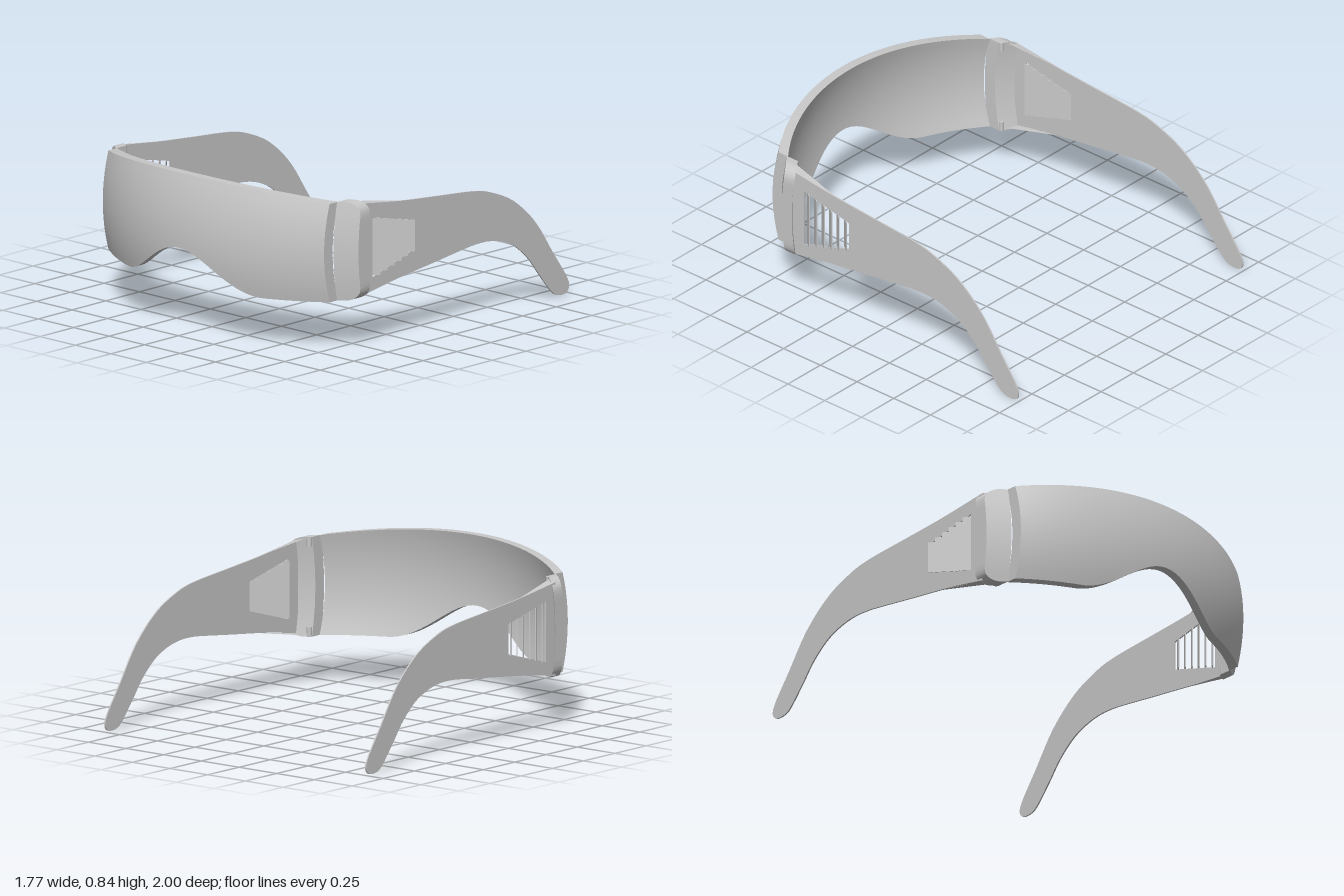
import * as THREE from 'three';
import { toCreasedNormals } from 'three/addons/utils/BufferGeometryUtils.js';

const V2 = (p) => new THREE.Vector2(p[0], p[1]);

// Curved shell lofted along x: each cross-section runs up the front and down the back.
function shell(x0, x1, cols, rows, bottom, top, front, back) {
  const pos = [], idx = [], ring = 2 * rows;
  for (let i = 0; i <= cols; i++) {
    const x = x0 + ((x1 - x0) * i) / cols, a = Math.abs(x);
    for (let j = 0; j < ring; j++) {
      const t = (j < rows ? j : ring - 1 - j) / (rows - 1);
      const y = bottom(a) + (top(a) - bottom(a)) * t;
      pos.push(x, y, (j < rows ? front : back)(a, y));
    }
  }
  for (let i = 0; i < cols; i++) {
    for (let j = 0; j < ring; j++) {
      const a = i * ring + j, b = i * ring + ((j + 1) % ring);
      idx.push(a, a + ring, b, b, a + ring, b + ring);
    }
  }
  // end caps
  const e = cols * ring;
  for (let j = 0; j < rows - 1; j++) {
    const k = ring - 1 - j;
    idx.push(j, j + 1, k - 1, j, k - 1, k);
    idx.push(e + j, e + k - 1, e + j + 1, e + j, e + k, e + k - 1);
  }
  const g = new THREE.BufferGeometry();
  g.setAttribute('position', new THREE.Float32BufferAttribute(pos, 3));
  g.setIndex(idx);
  return toCreasedNormals(g, 0.6);
}

export function createModel() {
  const model = new THREE.Group();
  const grey = new THREE.MeshStandardMaterial({ color: 0xc8c8c8, side: THREE.DoubleSide });
  grey.name = 'light grey';
  const add = (parent, name, geo) => {
    const m = new THREE.Mesh(geo, grey);
    m.name = name;
    parent.add(m);
    return m;
  };

  // Wraparound lens with a nose cutout
  const bulge = (y) => 0.05 * ((y - 0.52) / 0.32) ** 2;
  const arc = (r) => (x, y) => -0.3 + Math.sqrt((r - bulge(y)) ** 2 - x * x);
  add(model, 'lens', shell(-0.78, 0.78, 64, 16,
    (x) => 0.26 + (x < 0.48 ? 0.1025 * (1 + Math.cos((Math.PI * x) / 0.48)) : 0),
    (x) => 0.845 - 0.065 * (x / 0.78) ** 2,
    arc(1.3), arc(1.25)));

  // Narrow end panels with rounded outer corners
  const corner = (x) => (x > 0.81 ? 0.07 - Math.sqrt(Math.max(0, 0.0049 - (x - 0.81) ** 2)) : 0);
  const slope = (d) => (x, y) => 0.67 - d - 0.8 * (x - 0.78) - 0.8 * bulge(y);
  for (const s of [1, -1]) {
    const [a, b] = s > 0 ? [0.78, 0.88] : [-0.88, -0.78];
    add(model, s > 0 ? 'leftEndPanel' : 'rightEndPanel', shell(a, b, 24, 12,
      (x) => 0.26 + corner(x), (x) => 0.78 - corner(x), slope(0), slope(0.07)));
  }

  // Temple outline in (z, y)
  const topEdge = [[0.54, 0.765], [0.25, 0.725], [0, 0.7], [-0.3, 0.67], [-0.45, 0.63], [-0.6, 0.555],
    [-0.75, 0.42], [-0.88, 0.235], [-0.975, 0.1], [-0.998, 0.04], [-0.975, 0.005], [-0.92, 0.003],
    [-0.87, 0.03], [-0.78, 0.135], [-0.7, 0.235], [-0.6, 0.32], [-0.5, 0.365], [-0.4, 0.386],
    [-0.3, 0.387], [-0.2, 0.377], [0, 0.352], [0.3, 0.315], [0.54, 0.275]];
  const outline = new THREE.Shape();
  outline.moveTo(...topEdge[0]);
  outline.splineThru(topEdge.slice(1).map(V2));
  outline.closePath();
  outline.holes.push(new THREE.Path([[0.46, 0.675], [0.46, 0.36], [0.155, 0.45], [0.155, 0.605]].map(V2)));
  const templeGeo = new THREE.ExtrudeGeometry(outline, { depth: 0.008, bevelEnabled: false, curveSegments: 64 });
  templeGeo.rotateY(-Math.PI / 2).translate(0.004, 0, -0.52);

  for (const s of [1, -1]) {
    const temple = new THREE.Group();
    temple.name = s > 0 ? 'leftTemple' : 'rightTemple';
    temple.position.set(s > 0 ? 0.85 : -0.862, 0, 0.52);
    temple.rotation.y = s > 0 ? 0 : 0.013;
    model.add(temple);
    add(temple, 'templeArm', toCreasedNormals(templeGeo, 0.6));

    // Angled louvres in the vent
    for (let i = 0; i < 6; i++) {
      const t = (i + 0.5) / 6, z = 0.46 - 0.305 * t;
      const lo = 0.36 + 0.09 * t, hi = 0.675 - 0.07 * t;
      const slat = add(temple, 'ventSlat', new THREE.BoxGeometry(0.005, hi - lo, 0.056));
      slat.position.set(0, (lo + hi) / 2, z - 0.52);
      slat.rotation.y = -0.65 * s;
    }

    // Thin gussets joining the arm to the hinge, top and bottom
    for (const [y0, y1, y2] of [[0.725, 0.765, 0.778], [0.32, 0.275, 0.262]]) {
      const g = new THREE.BufferGeometry();
      const p = [0, y0, -0.27, 0, y1, 0.02, -s * 0.05, y2, 0.06];
      g.setAttribute('position', new THREE.Float32BufferAttribute(p, 3));
      g.computeVertexNormals();
      add(temple, 'hingeGusset', g);
    }

    // Hinge knuckles
    for (const y of [0.755, 0.285]) {
      for (const dz of [0, 0.025]) {
        const k = add(model, 'hingeKnuckle', new THREE.CylinderGeometry(0.014, 0.014, 0.05, 16));
        k.position.set(s * 0.795, y, 0.57 + dz);
      }
    }
  }
  return model;
}
